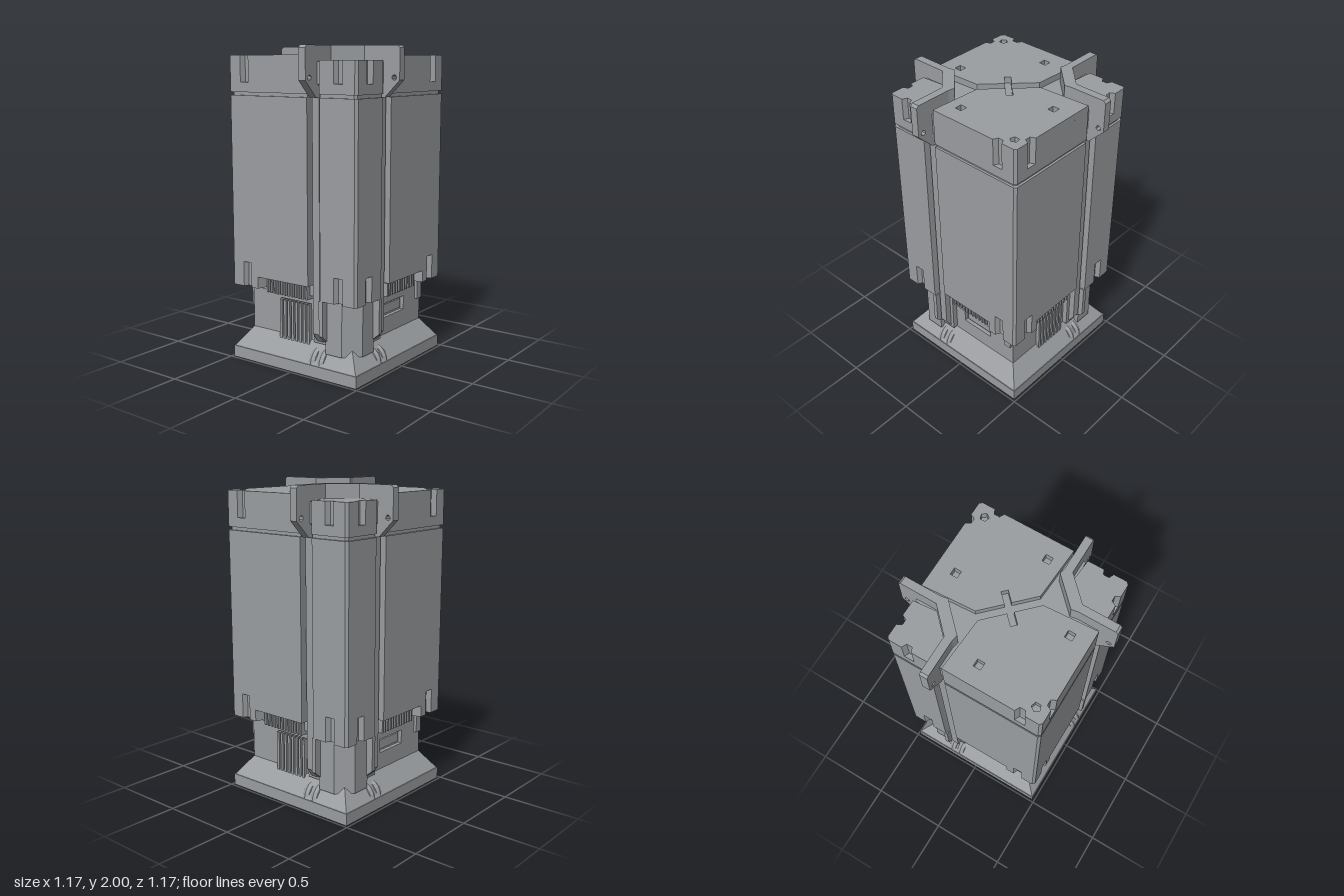
import * as THREE from 'three';

const material = new THREE.MeshStandardMaterial({ color: 0x9b9ea1, flatShading: true, side: THREE.DoubleSide });

function add(parent, name, geometry, x = 0, y = 0, z = 0) {
  const mesh = new THREE.Mesh(geometry, material);
  mesh.name = name;
  mesh.position.set(x, y, z);
  parent.add(mesh);
}

// Box given by its extents
function box(parent, name, x0, x1, y0, y1, z0, z1) {
  add(parent, name, new THREE.BoxGeometry(x1 - x0, y1 - y0, z1 - z0),
    (x0 + x1) / 2, (y0 + y1) / 2, (z0 + z1) / 2);
}

// Upright prism from a plan outline of [x, z] points, with optional holes
function prism(parent, name, plan, y0, y1, holes = []) {
  const toV = ([x, z]) => new THREE.Vector2(x, -z);
  const shape = new THREE.Shape(plan.map(toV));
  holes.forEach(h => shape.holes.push(new THREE.Path(h.map(toV))));
  const geometry = new THREE.ExtrudeGeometry(shape, { depth: y1 - y0, bevelEnabled: false });
  add(parent, name, geometry.rotateX(-Math.PI / 2), 0, y0, 0);
}

// Complete a half outline by mirroring over a diagonal
const mirrorBlock = half => [...half, ...half.map(([x, z]) => [-z, -x]).reverse()];
const mirrorPillar = half => [...half, ...half.map(([x, z]) => [z, x]).reverse()];
const shrink = (plan, k) => plan.map(([x, z]) => [x * k, z * k]);

const notch = s => [[s * 0.387, 0.485], [s * 0.372, 0.455], [s * 0.338, 0.455], [s * 0.323, 0.485]];

// Plan of one of the two large blocks
function blockPlan({ notched = false, slotted = false, cross = false }) {
  return mirrorBlock([
    [-0.47, 0.485],
    ...(notched ? notch(-1) : []),
    ...(slotted ? [[-0.27, 0.485], [-0.25, 0.415], [0.115, 0.415]] : [[0.13, 0.485]]),
    [0.11, 0.15],
    ...(cross ? [[-0.006, 0.034], [-0.055, 0.083], [-0.06, 0.075 + 0.015]] : []),
  ]);
}

// Plan of a corner pillar
const pillarPlan = notched => mirrorPillar([
  [0.47, 0.485],
  ...(notched ? notch(1) : []),
  [0.222, 0.485], [0.208, 0.335],
]);

// Plan of the narrower wall under a large block
const wallPlan = (vent, panel) => [
  [-0.39, 0.39],
  ...(vent ? [[-0.16, 0.39], [-0.16, 0.355], [0.085, 0.355], [0.085, 0.39]] : []),
  [0.12, 0.39], [0.11, 0.15], [-0.15, -0.11], [-0.39, -0.12],
  ...(panel ? [[-0.39, -0.04], [-0.365, -0.04], [-0.365, 0.19], [-0.39, 0.19]] : []),
];

function polygon(x, z, sides, r) {
  return Array.from({ length: sides }, (_, i) => {
    const a = (i + 0.5) / sides * Math.PI * 2;
    return [x + r * Math.cos(a), z + r * Math.sin(a)];
  });
}

// The bolt sockets keep one handedness, so `side` flips them per half
function buildBlock(g, side) {
  // Main block with clip notches and the slot along its lower edge
  prism(g, 'blockLower', blockPlan({ notched: true, slotted: true }), 0.49, 0.565);
  prism(g, 'blockNotches', blockPlan({ notched: true }), 0.565, 0.65);
  prism(g, 'blockBody', blockPlan({}), 0.65, 1.7);
  prism(g, 'blockSeam', shrink(blockPlan({}), 0.97), 1.7, 1.72);
  // Cap
  prism(g, 'capLower', blockPlan({}), 1.72, 1.78);
  prism(g, 'capNotches', blockPlan({ notched: true }), 1.78, 1.905);
  prism(g, 'capTop', blockPlan({ notched: true, cross: true }), 1.905, 1.945, [
    polygon(side * 0.03, 0.363, 4, 0.032),
    polygon(-0.363, side * 0.03, 4, 0.032),
    polygon(-0.41, 0.41, 5, 0.027),
  ]);
  // Teeth in the slots of both outer faces
  for (let i = 0; i < 12; i++) {
    const x = -0.23 + i * 0.028;
    box(g, 'frontTooth', x, x + 0.012, 0.465, 0.55, 0.37, 0.445);
    box(g, 'sideTooth', -0.445, -0.37, 0.465, 0.55, -x - 0.012, -x);
  }
  // Base wall with vent and window panel
  prism(g, 'wallBottom', wallPlan(true, false), 0.17, 0.31);
  prism(g, 'wallMiddle', wallPlan(true, true), 0.31, 0.4);
  prism(g, 'wallUpper', wallPlan(true, false), 0.4, 0.43);
  prism(g, 'wallTop', wallPlan(false, false), 0.43, 0.465);
  box(g, 'panelInsert', -0.375, -0.36, 0.325, 0.385, -0.025, 0.175);
  box(g, 'latch', -0.41, -0.38, 0.35, 0.47, 0.33, 0.38);
  for (let i = 0; i < 8; i++) {
    const x = -0.155 + i * 0.031;
    box(g, 'ventSlat', x, x + 0.018, 0.155, 0.425, 0.35, 0.41);
  }
}

function buildPillar(g) {
  prism(g, 'pillarLower', pillarPlan(true), 0.49, 0.65);
  prism(g, 'pillarBody', pillarPlan(false), 0.65, 1.7);
  prism(g, 'pillarSeam', shrink(pillarPlan(false), 0.97), 1.7, 1.72);
  prism(g, 'pillarCapLower', pillarPlan(false), 1.72, 1.78);
  prism(g, 'pillarCap', pillarPlan(true), 1.78, 1.915);
  // Narrower foot with a cut corner
  prism(g, 'pillarFoot', mirrorPillar([[0.35, 0.44], [0.23, 0.44], [0.22, 0.32]]), 0.15, 0.49);
}

// Extrude a [distance, height] profile across s0..s1 on both the front and the side face
function onBothFaces(g, name, profile, s0, s1, hole) {
  const toV = ([r, y]) => new THREE.Vector2(r, y);
  const shape = new THREE.Shape(profile.map(toV));
  if (hole) shape.holes.push(new THREE.Path(hole.map(toV)));
  const make = s => new THREE.ExtrudeGeometry(shape, { depth: s1 - s0, bevelEnabled: false }).translate(0, 0, s);
  add(g, name + 'Side', make(s0));
  add(g, name + 'Front', make(-s1).rotateY(-Math.PI / 2));
}

function buildBracket(g) {
  // Bracket arm that continues down as a rail
  onBothFaces(g, 'rail', [
    [0.32, 2], [0.32, 0.2], [0.41, 0.2], [0.46, 0.27], [0.46, 1.7], [0.485, 1.7],
    [0.585, 1.8], [0.585, 1.985], [0.57, 2],
  ], 0.15, 0.2, polygon(0.548, 1.815, 6, 0.017));
  prism(g, 'bracketBend', [[0.15, 0.34], [0.142, 0.3], [0.3, 0.142], [0.34, 0.15], [0.34, 0.2], [0.2, 0.34]], 1.8, 2);
  // Floor of the rail channel, closed at cap height
  onBothFaces(g, 'railBacking', [
    [0.33, 0.2], [0.42, 0.2], [0.42, 1.74], [0.475, 1.78], [0.475, 1.905], [0.33, 1.905],
  ], 0.125, 0.215);
  // Cheek beside the rail, slanted at its foot
  onBothFaces(g, 'railCheek', [[0.33, 0.19], [0.39, 0.19], [0.485, 0.27], [0.485, 0.49], [0.33, 0.49]], 0.212, 0.24);
  // Paired pipes at the foot of each rail
  const pts = [[0.36, 0.14], [0.41, 0.135], [0.44, 0.1], [0.452, 0.035]];
  for (const s of [0.142, 0.206]) {
    const front = new THREE.CatmullRomCurve3(pts.map(([r, y]) => new THREE.Vector3(s, y, r)));
    const side = new THREE.CatmullRomCurve3(pts.map(([r, y]) => new THREE.Vector3(r, y, s)));
    add(g, 'frontPipe', new THREE.TubeGeometry(front, 8, 0.033, 8));
    add(g, 'sidePipe', new THREE.TubeGeometry(side, 8, 0.033, 8));
  }
}

export function createModel() {
  const model = new THREE.Group();
  model.name = 'tower';

  // Plinth with a cross-shaped recess underneath, and the flare above it
  const h = 0.485;
  const square = [[-h, -h], [h, -h], [h, h], [-h, h]];
  const cross = Array.from({ length: 8 }, (_, i) => {
    const a = (i / 8 + 0.125) * Math.PI * 2, r = i % 2 ? 0.02 : 0.08;
    return [r * Math.cos(a), r * Math.sin(a)];
  });
  prism(model, 'plinthBottom', square, 0, 0.012, [cross]);
  prism(model, 'plinth', square, 0.012, 0.075);
  const flare = new THREE.CylinderGeometry(0.39 * Math.SQRT2, 0.48 * Math.SQRT2, 0.125, 4);
  add(model, 'flare', flare.rotateY(Math.PI / 4), 0, 0.1375, 0);

  // Inner core that closes the channels
  box(model, 'core', -0.36, 0.36, 0.15, 1.905, -0.36, 0.36);

  // Two halves, turned half a circle apart
  for (const side of [1, -1]) {
    const half = new THREE.Group();
    half.name = side > 0 ? 'frontHalf' : 'backHalf';
    half.rotation.y = side > 0 ? 0 : Math.PI;
    buildBlock(half, side);
    buildPillar(half);
    buildBracket(half);
    model.add(half);
  }
  return model;
}
